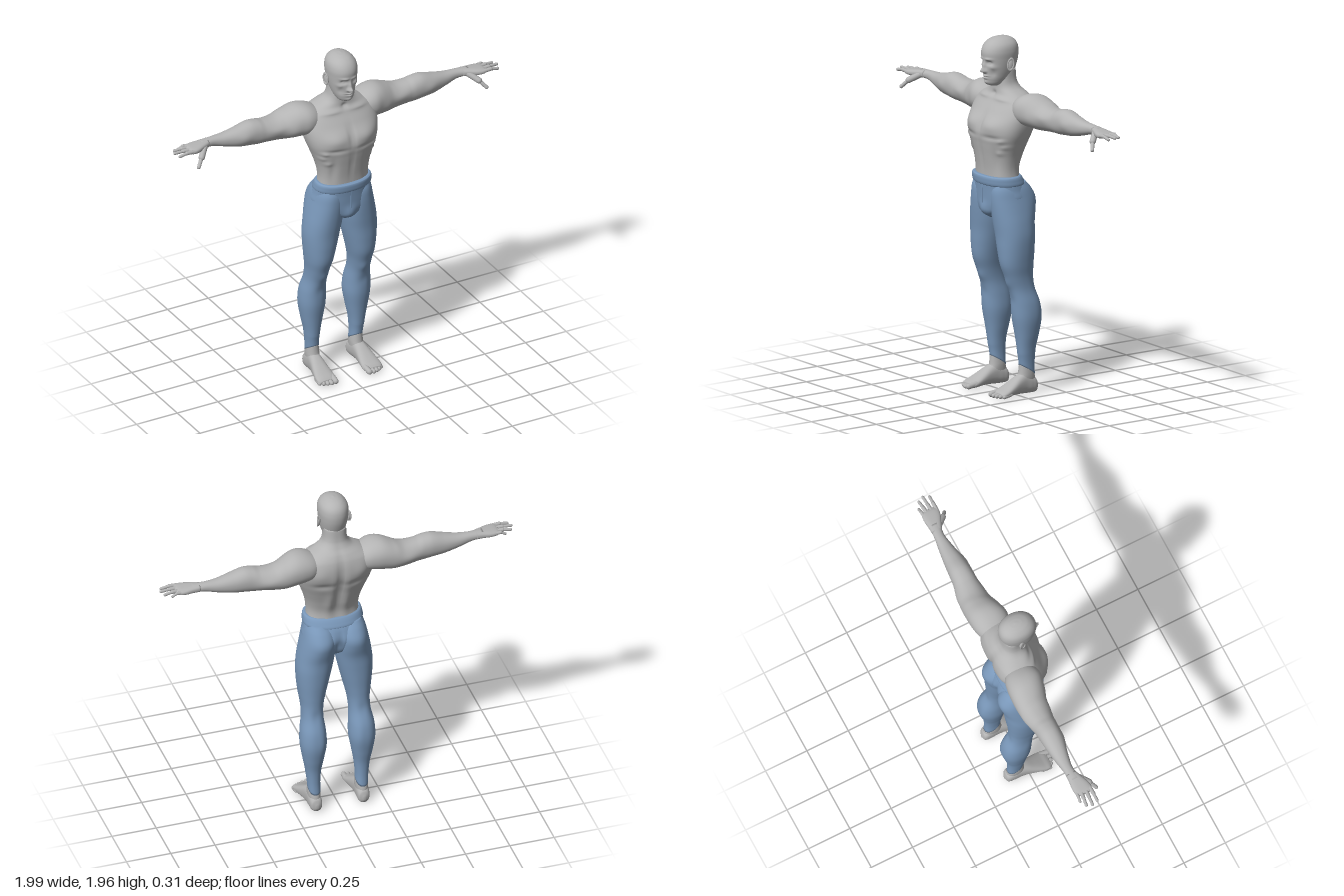
import * as THREE from 'three';

const skin = new THREE.MeshStandardMaterial({ color: 0xb4b4b4 });
skin.name = 'skin';
const denim = new THREE.MeshStandardMaterial({ color: 0x7a98ba });
denim.name = 'blue trousers';

// Smooth interpolation through rows of numbers keyed by their first column
function sample(rows, i, f) {
  const p0 = rows[Math.max(i - 1, 0)], p1 = rows[i], p2 = rows[i + 1], p3 = rows[Math.min(i + 2, rows.length - 1)];
  const h = p2[0] - p1[0];
  return p1.map((_, k) => {
    if (k === 0) return p1[0] + h * f;
    const m1 = (p2[k] - p0[k]) / (p2[0] - p0[0]) * h, m2 = (p3[k] - p1[k]) / (p3[0] - p1[0]) * h;
    const f2 = f * f, f3 = f2 * f;
    return (2 * f3 - 3 * f2 + 1) * p1[k] + (f3 - 2 * f2 + f) * m1 + (3 * f2 - 2 * f3) * p2[k] + (f3 - f2) * m2;
  });
}

// Loft through sections [t, uMax, uMin, vMax, vMin]; place() turns (u, t, v) into x, y, z
function loft(rows, { place = (u, t, v) => [u, t, v], seg = 48, sub = 6, power = 2.2, side = 1, warp } = {}) {
  const pos = [], idx = [], e = 2 / power;
  const pw = c => Math.sign(c) * Math.abs(c) ** e;
  const rings = [];
  for (let i = 0; i < rows.length - 1; i++) for (let k = 0; k < sub; k++) rings.push(sample(rows, i, k / sub));
  rings.push(rows[rows.length - 1]);
  const add = (u, t, v) => {
    const p = place(u, t, v);
    p[0] *= side;
    if (warp) warp(p);
    pos.push(...p);
  };
  for (const [t, u1, u0, v1, v0] of rings) for (let j = 0; j < seg; j++) {
    const a = j / seg * Math.PI * 2;
    add((u1 + u0) / 2 + (u1 - u0) / 2 * pw(Math.cos(a)), t, (v1 + v0) / 2 + (v1 - v0) / 2 * pw(Math.sin(a)));
  }
  for (const r of [rings[0], rings[rings.length - 1]]) add((r[1] + r[2]) / 2, r[0], (r[3] + r[4]) / 2);
  const n = rings.length, c0 = n * seg, last = (n - 1) * seg;
  for (let j = 0; j < seg; j++) {
    const k = (j + 1) % seg;
    for (let i = 0; i < n - 1; i++) {
      const a = i * seg + j, b = i * seg + k;
      idx.push(a, a + seg, b, b, a + seg, b + seg);
    }
    idx.push(j, k, c0, last + k, last + j, c0 + 1);
  }
  // Turn the faces outward if the enclosed volume is negative
  const P = i => new THREE.Vector3().fromArray(pos, i * 3);
  let vol = 0;
  for (let i = 0; i < idx.length; i += 3) vol += P(idx[i]).dot(P(idx[i + 1]).cross(P(idx[i + 2])));
  if (vol < 0) idx.reverse();
  const g = new THREE.BufferGeometry();
  g.setAttribute('position', new THREE.Float32BufferAttribute(pos, 3));
  g.setIndex(idx);
  g.computeVertexNormals();
  return g;
}

// Soft symmetric bumps [x, y, z, width, height, depth, amount along z]
const bumps = list => p => {
  let dz = 0;
  for (const [x, y, z, a, b, c, amt] of list)
    dz += amt * Math.exp(-(((Math.abs(p[0]) - x) / a) ** 2) - ((p[1] - y) / b) ** 2 - ((p[2] - z) / c) ** 2);
  p[2] += dz;
};
const sym = rows => rows.map(([t, w, f, b]) => [t, w, -w, f, b]);

function createModel() {
  const model = new THREE.Group();
  const add = (name, geo, mat, parent = model) => {
    const m = new THREE.Mesh(geo, mat);
    m.name = name;
    parent.add(m);
    return m;
  };
  // Rounded rod between two points, for fingers and toes
  const rod = (name, a, b, r, side, parent) => {
    const A = new THREE.Vector3(a[0] * side, a[1], a[2]), B = new THREE.Vector3(b[0] * side, b[1], b[2]);
    const m = add(name, new THREE.CapsuleGeometry(r, A.distanceTo(B), 5, 12), skin, parent);
    m.position.copy(A).lerp(B, 0.5);
    m.quaternion.setFromUnitVectors(new THREE.Vector3(0, 1, 0), B.sub(A).normalize());
  };

  // Torso and neck
  add('torso', loft(sym([
    [1.16, .148, .115, -.07], [1.24, .144, .12, -.063], [1.31, .155, .13, -.082], [1.38, .178, .142, -.108],
    [1.44, .2, .15, -.132], [1.5, .214, .134, -.15], [1.56, .218, .1, -.152], [1.61, .2, .068, -.143],
    [1.645, .14, .05, -.125], [1.675, .088, .046, -.1], [1.71, .067, .046, -.083], [1.78, .062, .04, -.075],
  ]), { seg: 96, sub: 8, power: 2.35, warp: bumps([
    [.09, 1.49, .13, .07, .04, .06, .014], [0, 1.5, .13, .014, .06, .05, -.01], [.1, 1.425, .14, .07, .012, .05, -.007],
    [0, 1.33, .13, .01, .09, .05, -.005], [.1, 1.3, .1, .02, .08, .05, -.007], [.15, 1.41, .1, .02, .012, .05, .008],
    [.16, 1.375, .08, .02, .012, .05, .008], [.13, 1.34, .1, .02, .012, .05, .006],
    [.09, 1.625, .06, .07, .012, .06, .008], [0, 1.645, .05, .015, .015, .04, -.01],
    [0, 1.42, -.14, .02, .18, .07, .022], [.05, 1.3, -.09, .025, .1, .05, -.01],
    [.12, 1.54, -.14, .05, .05, .06, -.008], [.1, 1.46, -.14, .06, .02, .05, .008],
  ]) }), skin);

  // Head with sculpted face
  add('head', loft(sym([
    [1.69, .022, .07, .01], [1.7, .04, .093, -.01], [1.725, .055, .104, -.045], [1.76, .066, .108, -.068],
    [1.8, .074, .111, -.084], [1.84, .079, .114, -.094], [1.88, .081, .115, -.096], [1.915, .073, .1, -.087],
    [1.94, .051, .072, -.064], [1.952, .026, .038, -.034], [1.956, .003, .008, -.004],
  ]), { seg: 128, sub: 12, power: 2.15, warp: bumps([
    [0, 1.778, .11, .012, .012, .05, .026], [0, 1.8, .11, .009, .022, .05, .014], [.011, 1.773, .11, .007, .007, .05, .01],
    [.031, 1.822, .1, .016, .011, .04, -.015], [.031, 1.821, .09, .009, .006, .04, .007], [.03, 1.843, .11, .022, .007, .05, .006],
    [0, 1.749, .11, .02, .005, .05, .009], [0, 1.736, .11, .017, .005, .05, .009], [0, 1.742, .11, .022, .002, .05, -.005],
    [0, 1.712, .1, .018, .012, .05, .007], [.045, 1.765, .09, .014, .02, .04, -.007], [.052, 1.798, .08, .014, .012, .05, .006],
  ]) }), skin);

  // Seat of the trousers and waistband
  add('trouserSeat', loft(sym([
    [.965, .03, .075, -.06], [.99, .08, .108, -.09], [1.03, .155, .117, -.11], [1.08, .176, .121, -.122],
    [1.13, .167, .124, -.106], [1.17, .16, .127, -.085],
  ]), { seg: 64, warp: bumps([[0, 1.02, .11, .03, .035, .05, .012], [0, 1.06, -.12, .012, .06, .05, .018]]) }), denim);
  add('waistband', loft(sym([
    [1.152, .158, .125, -.092], [1.158, .166, .133, -.1], [1.18, .165, .137, -.09], [1.2, .16, .136, -.076], [1.206, .151, .128, -.067],
  ]), { seg: 64 }), denim);
  add('flySeam', new THREE.BoxGeometry(.006, .1, .006), denim).position.set(0, 1.1, .124);

  for (const side of [1, -1]) {
    const tag = side > 0 ? 'left' : 'right';

    // Ear with a raised rim
    const ear = new THREE.Group();
    ear.name = tag + 'Ear';
    ear.position.set(side * .082, 1.812, -.002);
    ear.rotation.set(-.15, side * -.3, 0);
    model.add(ear);
    add('earBody', new THREE.SphereGeometry(1, 20, 14), skin, ear).scale.set(.008, .032, .018);
    const rim = add('earRim', new THREE.TorusGeometry(.017, .004, 8, 28), skin, ear);
    rim.rotation.y = Math.PI / 2;
    rim.scale.y = 1.8;
    rim.position.x = side * .006;

    // Arm from shoulder to wrist: x, top, bottom, front, back
    add(tag + 'Arm', loft([
      [.1, 1.62, 1.53, .0, -.11], [.15, 1.65, 1.505, .04, -.14], [.2, 1.667, 1.493, .052, -.152], [.25, 1.667, 1.488, .04, -.156],
      [.31, 1.645, 1.485, .018, -.155], [.37, 1.624, 1.49, .004, -.146], [.44, 1.625, 1.496, 0, -.133],
      [.48, 1.635, 1.497, 0, -.128], [.53, 1.639, 1.502, -.003, -.125], [.6, 1.622, 1.51, -.012, -.118],
      [.68, 1.606, 1.53, -.03, -.108], [.75, 1.602, 1.55, -.042, -.098], [.82, 1.599, 1.558, -.03, -.096],
    ], { place: (y, x, z) => [x, y, z], side, warp: bumps([
      [.29, 1.55, .02, .035, .05, .05, .007], [.38, 1.57, 0, .05, .03, .05, .008], [.33, 1.64, -.03, .02, .04, .1, -.006],
      [.4, 1.56, -.14, .06, .03, .05, -.008], [.57, 1.57, -.01, .04, .03, .05, .006],
    ]) }), skin);

    // Hand with four fingers and a thumb
    const hand = new THREE.Group();
    hand.name = tag + 'Hand';
    model.add(hand);
    add('palm', loft([
      [.78, 1.6, 1.556, -.038, -.097], [.82, 1.598, 1.556, -.022, -.099], [.86, 1.595, 1.556, -.006, -.103],
      [.895, 1.591, 1.56, -.002, -.1], [.912, 1.585, 1.567, -.01, -.092],
    ], { place: (y, x, z) => [x, y, z], seg: 32, side, power: 2.6 }), skin, hand);
    [[-.09, -.096, .94, 1.568], [-.066, -.077, .975, 1.575], [-.039, -.046, .988, 1.578], [-.013, -.012, .976, 1.572]].forEach(([z0, z1, x, y], i) => {
      const r = i ? .0105 : .009, mid = [(.89 + x) / 2, 1.58, (z0 + z1) / 2];
      rod('finger', [.88, 1.577, z0], mid, r, side, hand);
      rod('fingertip', mid, [x, y, z1], r * .8, side, hand);
    });
    rod('thumbBase', [.81, 1.572, -.04], [.852, 1.54, .004], .017, side, hand);
    rod('thumbTip', [.852, 1.54, .004], [.884, 1.502, .03], .0105, side, hand);

    // Trouser leg with a hem that is higher at the front: y, outer, inner, front, back
    const shape = bumps([[.1, 1.06, -.13, .05, .05, .05, -.006], [.12, .61, .05, .03, .03, .05, .007],
      [.13, .52, .02, .03, .03, .05, -.004], [.1, .45, -.14, .025, .07, .05, -.004], [.13, .6, -.11, .03, .04, .05, .006]]);
    add(tag + 'TrouserLeg', loft([
      [.1, .168, .1, -.026, -.118], [.17, .172, .1, -.021, -.115], [.25, .18, .094, -.013, -.12], [.33, .195, .08, -.002, -.137],
      [.42, .208, .066, .013, -.151], [.5, .205, .068, .02, -.142], [.58, .191, .075, .034, -.115], [.65, .191, .07, .06, -.104],
      [.72, .2, .055, .085, -.106], [.8, .208, .036, .095, -.112], [.88, .211, .018, .1, -.117], [.95, .204, .005, .108, -.122],
      [1.02, .191, -.002, .115, -.136], [1.08, .178, -.002, .118, -.138], [1.13, .166, .008, .115, -.115], [1.17, .15, .03, .1, -.08],
    ], { seg: 56, side, warp: p => {
      shape(p);
      p[1] += Math.max(0, 1 - (p[1] - .1) / .12) * (p[2] + .118) * .65;
    } }), denim);

    // Ankle, foot and toes
    const foot = new THREE.Group();
    foot.name = tag + 'Foot';
    model.add(foot);
    add('ankle', loft([
      [.03, .16, .105, -.02, -.125], [.08, .168, .1, -.012, -.122], [.115, .169, .099, -.022, -.114], [.2, .163, .108, -.03, -.108],
    ], { seg: 32, side }), skin, foot);
    add('footBody', loft([
      [-.136, .14, .126, .045, .022], [-.125, .162, .105, .075, .004], [-.09, .17, .099, .1, 0], [-.05, .172, .099, .115, .001],
      [-.01, .178, .097, .103, .003], [.04, .189, .091, .074, .003], [.085, .197, .086, .048, 0], [.11, .196, .087, .036, 0], [.125, .185, .095, .026, .006],
    ], { place: (x, z, y) => [x, y, z], seg: 40, side, power: 2.4 }), skin, foot);
    [[.102, .14, .0155], [.127, .142, .0115], [.148, .136, .011], [.168, .127, .0105], [.187, .114, .01]].forEach(([x, z, r]) =>
      rod('toe', [x, r + .008, z - .045], [x + .002, r, z], r, side, foot));
  }
  return model;
}

export { createModel };
